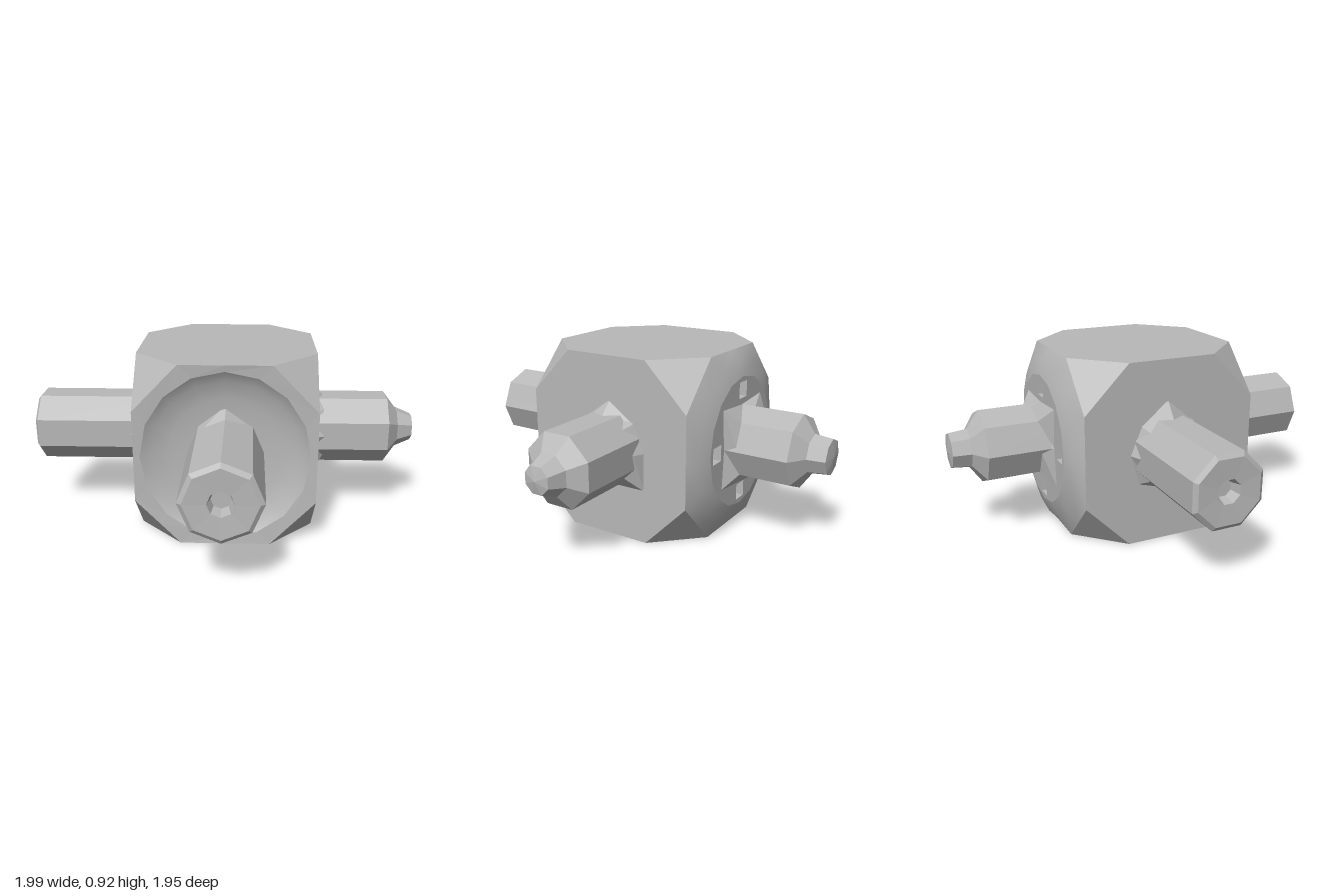
import * as THREE from 'three';

const grey = new THREE.MeshStandardMaterial({ color: 0xb8b8b8 });
grey.name = 'plain grey';

function flat(geometry) {
  const g = geometry.index ? geometry.toNonIndexed() : geometry;
  g.computeVertexNormals();
  return g;
}

function part(name, geometry) {
  const mesh = new THREE.Mesh(geometry, grey);
  mesh.name = name;
  return mesh;
}

// Skin between rings of equal point count, listed from the outer one inwards, facing +z
function loft(rings, smooth = false) {
  const n = rings[0].length;
  const index = [];
  for (let k = 0; k < rings.length - 1; k++) {
    for (let i = 0; i < n; i++) {
      const j = (i + 1) % n;
      const a = k * n + i, b = k * n + j, c = (k + 1) * n + j, d = (k + 1) * n + i;
      index.push(a, b, c, a, c, d);
    }
  }
  const g = new THREE.BufferGeometry();
  g.setAttribute('position', new THREE.Float32BufferAttribute(rings.flat(2), 3));
  g.setIndex(index);
  if (!smooth) return flat(g);
  g.computeVertexNormals();
  return g;
}

// Ring with one radius, or one radius per point
function ring(r, z, n = 16) {
  return Array.from({ length: n }, (_, i) => {
    const t = (i / n) * Math.PI * 2;
    const q = Array.isArray(r) ? r[i] : r;
    return [q * Math.cos(t), q * Math.sin(t), z];
  });
}

// Octagonal face of the truncated cube, with midpoints
function octagon(z) {
  const quarter = [[1, 0], [1, 0.5], [0.75, 0.75], [0.5, 1]];
  const points = [];
  for (let q = 0; q < 4; q++) {
    const c = [1, 0, -1, 0][q], s = [0, 1, 0, -1][q];
    for (const [x, y] of quarter) points.push([x * c - y * s, x * s + y * c, z]);
  }
  return points;
}

function createBody() {
  const body = new THREE.Group();
  body.name = 'body';

  // Four plain sides
  const side = () => loft([octagon(1), ring(0, 1)]);
  body.add(part('topFace', side().rotateX(-Math.PI / 2)));
  body.add(part('bottomFace', side().rotateX(Math.PI / 2)));
  body.add(part('leftFace', side().rotateY(Math.PI / 2)));
  body.add(part('rightFace', side().rotateY(-Math.PI / 2)));

  // Cut corners
  const corners = [];
  for (const x of [-1, 1]) for (const y of [-1, 1]) for (const z of [-1, 1]) {
    const a = [x / 2, y, z], b = [x, y / 2, z], c = [x, y, z / 2];
    corners.push(...(x * y * z > 0 ? [a, b, c] : [a, c, b]).flat());
  }
  const cornerGeometry = new THREE.BufferGeometry();
  cornerGeometry.setAttribute('position', new THREE.Float32BufferAttribute(corners, 3));
  body.add(part('cutCorners', flat(cornerGeometry)));

  // Hollowed front
  body.add(part('frontRim', loft([octagon(1), ring(0.93, 0.99)])));
  body.add(part('frontDish', loft([
    ring(0.93, 0.99), ring(0.82, 0.92), ring(0.62, 0.87), ring(0.35, 0.85), ring(0, 0.845),
  ], true)));

  // Swollen back with four pits around the stem
  const swell = loft([octagon(1), ring(0.9, 1.09), ring(0.73, 1.14)], true);
  body.add(part('backSwell', swell.rotateY(Math.PI)));
  const disc = new THREE.Shape(ring(0.73, 0).map(([x, y]) => new THREE.Vector2(x, y)));
  for (const [x, y] of [[0.58, 0], [0, 0.58], [-0.58, 0], [0, -0.58]]) {
    const s = 0.09;
    disc.holes.push(new THREE.Path([
      new THREE.Vector2(x - s, y - s), new THREE.Vector2(x - s, y + s),
      new THREE.Vector2(x + s, y + s), new THREE.Vector2(x + s, y - s),
    ]));
  }
  const plate = new THREE.ExtrudeGeometry(disc, { depth: 0.17, bevelEnabled: false });
  body.add(part('backPlate', plate.translate(0, 0, 0.97).rotateY(Math.PI)));
  body.add(part('pitFloor', loft([ring(0.73, 0.98), ring(0, 0.98)]).rotateY(Math.PI)));

  body.scale.set(0.4425, 0.46, 0.45);
  body.position.set(0.0125, 0.46, 0.02);
  return body;
}

// Eight-sided stem along local y with a spiky collar at its root
function createStem(name, profile, turn, collarRadii, from, to) {
  const stem = new THREE.Group();
  stem.name = name;
  const points = profile.map(([r, d]) => new THREE.Vector2(r, d));
  stem.add(part(name + 'Shaft', flat(new THREE.LatheGeometry(points, 8, turn))));
  const collar = loft([ring(collarRadii, from, 8), ring(0.175, to, 8)]);
  stem.add(part(name + 'Collar', collar.rotateX(-Math.PI / 2)));
  stem.position.set(0.0125, 0.465, 0);
  return stem;
}

export function createModel() {
  const model = new THREE.Group();
  model.name = 'cubeWithFourStems';
  model.add(createBody());

  // Blunt stems with a socket in the end
  const blunt = (end) => [
    [0.187, 0.3], [0.187, end - 0.015], [0.165, end], [0.06, end - 0.005], [0.045, end - 0.06], [0, end - 0.06],
  ];
  const front = createStem('frontStem', blunt(0.975), 0,
    [0.19, 0.19, 0.24, 0.19, 0.19, 0.19, 0.19, 0.19], 0.39, 0.47);
  front.rotation.x = Math.PI / 2;
  const right = createStem('rightStem', blunt(1.0), Math.PI / 8,
    [0.26, 0.2, 0.2, 0.22, 0.2, 0.28, 0.2, 0.2], 0.435, 0.5);
  right.rotation.z = Math.PI / 2;

  // Stems with a shoulder and a small knob
  const left = createStem('leftStem', [
    [0.187, 0.3], [0.187, 0.83], [0.105, 0.89], [0.07, 0.972], [0, 0.9875],
  ], Math.PI / 8, [0.2, 0.28, 0.2, 0.2, 0.24, 0.2, 0.2, 0.28], 0.435, 0.5);
  left.rotation.z = -Math.PI / 2;
  const back = createStem('backStem', [
    [0.187, 0.3], [0.187, 0.815], [0.1, 0.875], [0.09, 0.965], [0, 0.975],
  ], 0, [0.19, 0.29, 0.19, 0.29, 0.19, 0.29, 0.19, 0.29], 0.49, 0.56);
  back.rotation.x = -Math.PI / 2;

  model.add(front, right, left, back);
  return model;
}
